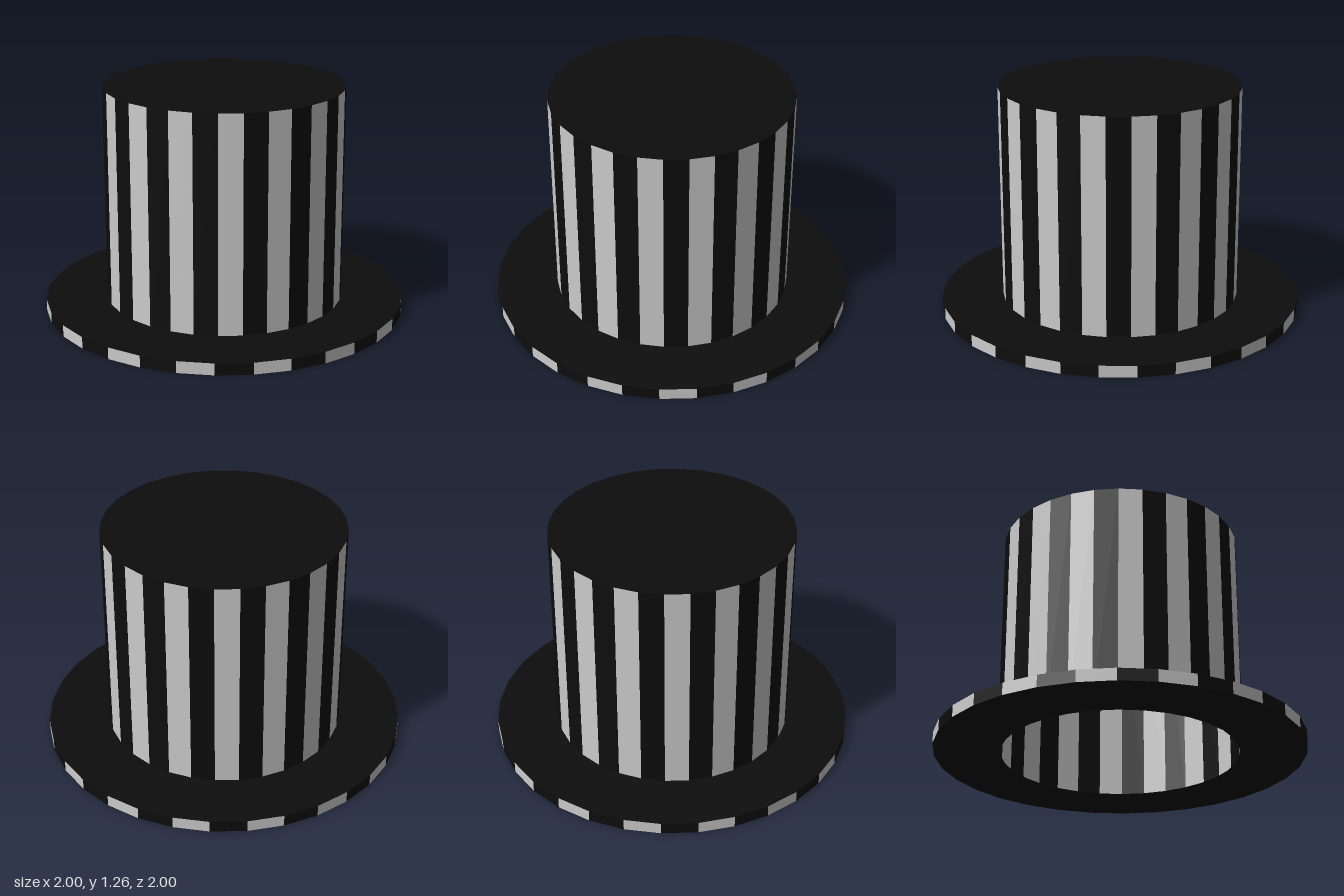
import * as THREE from 'three';
import { mergeGeometries } from 'three/addons/utils/BufferGeometryUtils.js';

const SIDES = 32;
const STEP = (Math.PI * 2) / SIDES;
const BRIM_R = 1, CROWN_R = 0.66, HOLE_R = 0.64;
const BRIM_H = 0.065, HEIGHT = 1.26;

const makeMaterial = (color) =>
  new THREE.MeshStandardMaterial({ color, flatShading: true, side: THREE.DoubleSide });

export function createModel() {
  const hat = new THREE.Group();
  hat.name = 'topHat';
  const black = makeMaterial(0x0d0d0d);
  const grey = makeMaterial(0xcccccc);

  const add = (name, geometry, material) => {
    const mesh = new THREE.Mesh(geometry, material);
    mesh.name = name;
    hat.add(mesh);
  };

  // Every second facet of an upright band, starting at facet `first`
  const stripes = (radius, y0, y1, first) => {
    const facets = [];
    for (let i = first; i < SIDES; i += 2) {
      facets.push(new THREE.CylinderGeometry(radius, radius, y1 - y0, 1, 1, true, i * STEP, STEP));
    }
    return mergeGeometries(facets).translate(0, (y0 + y1) / 2, 0);
  };

  // Flat ring or disc, facing up or down
  const ring = (inner, outer, y, up) =>
    new THREE.RingGeometry(inner, outer, SIDES).rotateX(up ? -Math.PI / 2 : Math.PI / 2).translate(0, y, 0);
  const disc = new THREE.CircleGeometry(CROWN_R, SIDES).rotateX(-Math.PI / 2).translate(0, HEIGHT, 0);

  // Crown: thin striped wall, open below, with a closed top
  add('crownGreyStripes', stripes(CROWN_R, 0, HEIGHT, 0), grey);
  add('crownBlackStripes', stripes(CROWN_R, 0, HEIGHT, 1), black);
  add('crownTop', disc, black);

  // Brim: striped edge between two flat rings, stripes offset from the crown
  add('brimGreyStripes', stripes(BRIM_R, 0, BRIM_H, 1), grey);
  add('brimBlackStripes', stripes(BRIM_R, 0, BRIM_H, 0), black);
  add('brimTop', ring(CROWN_R, BRIM_R, BRIM_H, true), black);
  add('brimUnderside', ring(HOLE_R, BRIM_R, 0, false), black);

  return hat;
}
